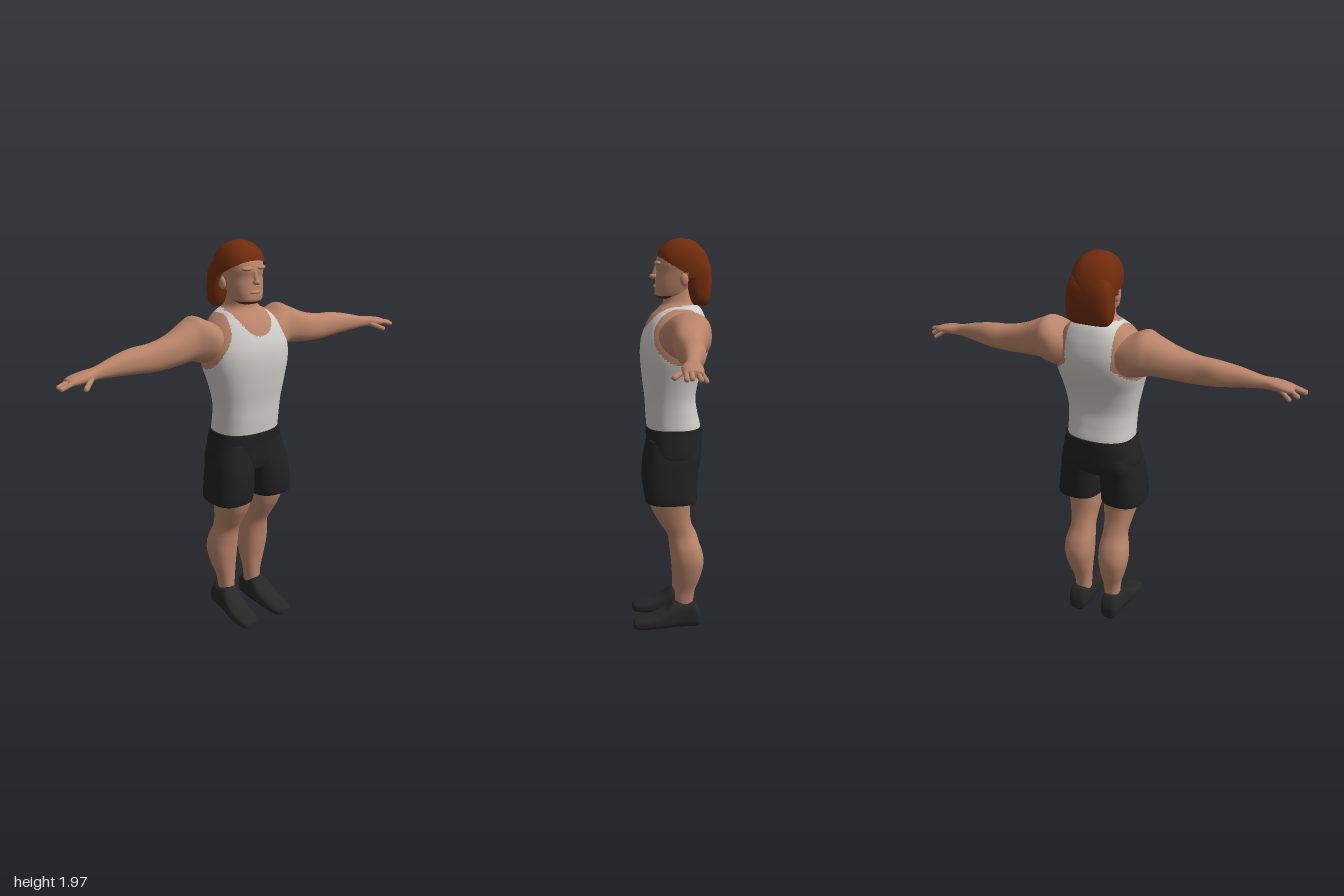
import * as THREE from 'three';

const mat = (name, color, side = THREE.FrontSide) =>
  Object.assign(new THREE.MeshStandardMaterial({ color, side }), { name });

// Which coordinates a loft's (t, a, b) become, for lofts along each axis
const AXES = {
  x: (t, a, b) => [t, b, a],
  y: (t, a, b) => [a, t, b],
  z: (t, a, b) => [b, a, t],
};

// Smooth closed skin through rows [t, aMin, aMax, bMin, bMax].
// pick(x, y, z) gives each face a material index; -1 leaves the face out.
function loft(axis, rows, { n = 2.3, segs = 32, steps = 5, pick = null } = {}) {
  const rings = [];
  const last = rows.length - 1;
  for (let i = 0; i <= last * steps; i++) {
    const k = Math.min(Math.floor(i / steps), last - 1), f = i / steps - k;
    rings.push(rows[0].map((_, c) => {
      const p1 = rows[k][c], p2 = rows[k + 1][c];
      const p0 = k > 0 ? rows[k - 1][c] : p1;
      const p3 = k + 2 <= last ? rows[k + 2][c] : p2;
      const m1 = (p2 - p0) / 2, m2 = (p3 - p1) / 2;
      const f2 = f * f, f3 = f2 * f;
      return p1 * (2 * f3 - 3 * f2 + 1) + m1 * (f3 - 2 * f2 + f) + p2 * (3 * f2 - 2 * f3) + m2 * (f3 - f2);
    }));
  }
  // Closing rings collapsed to a point
  const closed = ([t, a0, a1, b0, b1]) => [t, (a0 + a1) / 2, (a0 + a1) / 2, (b0 + b1) / 2, (b0 + b1) / 2];
  rings.unshift(closed(rings[0]));
  rings.push(closed(rings[rings.length - 1]));

  const pos = [];
  const bend = (v) => Math.sign(v) * Math.abs(v) ** (2 / n);
  for (const [t, a0, a1, b0, b1] of rings) {
    for (let j = 0; j < segs; j++) {
      const q = (j / segs) * Math.PI * 2;
      pos.push(...AXES[axis](t, (a0 + a1) / 2 + (bend(Math.cos(q)) * (a1 - a0)) / 2,
        (b0 + b1) / 2 + (bend(Math.sin(q)) * (b1 - b0)) / 2));
    }
  }
  const lists = [[], []], all = [];
  for (let i = 0; i < rings.length - 1; i++) {
    for (let j = 0; j < segs; j++) {
      const a = i * segs + j, d = i * segs + ((j + 1) % segs), b = a + segs, c = d + segs;
      for (const tri of [[a, b, d], [b, c, d]]) {
        all.push(...tri);
        const mid = [0, 1, 2].map((k) => tri.reduce((s, v) => s + pos[v * 3 + k], 0) / 3);
        const m = pick ? pick(...mid) : 0;
        if (m >= 0) lists[m].push(...tri);
      }
    }
  }
  const geo = new THREE.BufferGeometry();
  geo.setAttribute('position', new THREE.Float32BufferAttribute(pos, 3));
  geo.setIndex(all);
  geo.computeVertexNormals();
  geo.setIndex([...lists[0], ...lists[1]]);
  if (lists[1].length) {
    geo.addGroup(0, lists[0].length, 0);
    geo.addGroup(lists[0].length, lists[1].length, 1);
  }
  return geo;
}

// Copy of a geometry reflected to the other side of the body
function mirrored(geo) {
  const g = geo.clone().scale(1, 1, -1);
  const ix = g.index.array;
  for (let i = 0; i < ix.length; i += 3) [ix[i], ix[i + 1]] = [ix[i + 1], ix[i]];
  const nor = g.attributes.normal;
  if (!nor) g.computeVertexNormals();
  return g;
}

// Rounded finger between two points
function finger(from, to, r) {
  const a = new THREE.Vector3(...from), b = new THREE.Vector3(...to);
  const dir = b.clone().sub(a);
  const g = new THREE.CapsuleGeometry(r, dir.length(), 6, 12);
  g.applyQuaternion(new THREE.Quaternion().setFromUnitVectors(new THREE.Vector3(0, 1, 0), dir.normalize()));
  const m = a.add(b).multiplyScalar(0.5);
  return g.translate(m.x, m.y, m.z);
}

const blob = (x, y, z, rx, ry, rz) => new THREE.SphereGeometry(1, 20, 14).scale(rx, ry, rz).translate(x, y, z);

export function createModel() {
  const model = new THREE.Group();
  model.name = 'standingMan';
  const skin = mat('skin', 0xb98469);
  const hair = mat('hair', 0x702c0c, THREE.DoubleSide);
  const shirt = mat('shirt', 0xcfcdc9);
  const shorts = mat('shorts', 0x212121);
  const shoe = mat('shoe', 0x272727);

  const add = (name, geo, material) => {
    const mesh = new THREE.Mesh(geo, material);
    mesh.name = name;
    model.add(mesh);
  };
  const pair = (name, geo, material) => {
    add(name + 'Left', mirrored(geo), material);
    add(name + 'Right', geo, material);
  };

  // Torso and neck: vest with neckline and armholes cut out as skin
  const torsoRows = [
    [1.0, -0.145, 0.115, 0.168], [1.05, -0.15, 0.12, 0.172], [1.12, -0.135, 0.125, 0.173],
    [1.2, -0.125, 0.13, 0.179], [1.3, -0.143, 0.142, 0.2], [1.4, -0.178, 0.15, 0.224],
    [1.48, -0.19, 0.145, 0.222], [1.55, -0.182, 0.122, 0.198], [1.6, -0.167, 0.095, 0.165],
    [1.635, -0.15, 0.06, 0.125], [1.665, -0.125, 0.035, 0.08], [1.72, -0.105, 0.035, 0.067],
    [1.8, -0.1, 0.03, 0.06],
  ].map(([y, x0, x1, h]) => [y, x0, x1, -h, h]);
  const torsoPick = (x, y, z) => {
    const armhole = Math.abs(z) > 0.12 && ((x + 0.048) / 0.138) ** 2 + ((y - 1.51) / 0.13) ** 2 < 1;
    const neckline = x > -0.05 && (z / 0.1) ** 2 + ((y - 1.66) / 0.12) ** 2 < 1;
    return armhole || neckline || y > 1.655 ? 1 : 0;
  };
  add('torso', loft('y', torsoRows, { n: 2.4, segs: 144, steps: 10, pick: torsoPick }), [shirt, skin]);

  // Head, with a short beard along the underside of the chin
  const headRows = [
    [1.683, -0.05, 0.055, 0.05], [1.7, -0.08, 0.074, 0.07], [1.73, -0.095, 0.076, 0.08],
    [1.77, -0.12, 0.073, 0.087], [1.81, -0.15, 0.068, 0.092], [1.85, -0.155, 0.072, 0.095],
    [1.89, -0.15, 0.058, 0.09], [1.93, -0.12, 0.02, 0.06],
  ].map(([y, x0, x1, h]) => [y, x0, x1, -h, h]);
  add('head', loft('y', headRows, { segs: 64, steps: 8, pick: (x, y) => (y < 1.698 && x > 0 ? 1 : 0) }), [skin, hair]);
  add('noseBridge', finger([0.066, 1.835, 0], [0.08, 1.797, 0], 0.011), skin);
  add('noseTip', blob(0.08, 1.789, 0, 0.022, 0.013, 0.017), skin);
  add('lips', blob(0.071, 1.742, 0, 0.012, 0.009, 0.03), skin);
  pair('brow', blob(0.059, 1.853, -0.038, 0.018, 0.011, 0.03), skin);
  pair('ear', blob(-0.06, 1.775, -0.095, 0.02, 0.03, 0.014), skin);

  // Hair: cap cut along the hairline, and the long solid back
  const capRows = [
    [1.78, -0.2, 0.045, 0.115], [1.83, -0.196, 0.064, 0.116], [1.87, -0.186, 0.066, 0.113],
    [1.91, -0.166, 0.056, 0.1], [1.945, -0.132, 0.025, 0.075], [1.963, -0.095, -0.01, 0.042], [1.97, -0.06, -0.04, 0.01],
  ].map(([y, x0, x1, h]) => [y, x0, x1, -h, h]);
  const hairline = (x, y) => (y > 1.81 + Math.max(0, (x + 0.06) * 0.62) || (x < -0.08 && y > 1.785) ? 0 : -1);
  add('hairCap', loft('y', capRows, { segs: 96, steps: 12, pick: hairline }), hair);
  const backRows = [
    [1.655, -0.175, -0.105, 0.095], [1.675, -0.188, -0.095, 0.11], [1.71, -0.196, -0.085, 0.117],
    [1.77, -0.2, -0.075, 0.115], [1.83, -0.195, -0.07, 0.109], [1.87, -0.175, -0.08, 0.09],
  ].map(([y, x0, x1, h]) => [y, x0, x1, -h, h]);
  add('hairBack', loft('y', backRows, { n: 3, segs: 48 }), hair);

  // Arms with hands
  pair('arm', mirrored(loft('z', [
    [0.1, 1.42, 1.57, -0.15, 0.05], [0.18, 1.4, 1.603, -0.18, 0.07], [0.25, 1.415, 1.635, -0.176, 0.037],
    [0.3, 1.425, 1.617, -0.16, 0.02], [0.4, 1.418, 1.572, -0.13, 0.015], [0.5, 1.413, 1.548, -0.11, 0.002],
    [0.6, 1.42, 1.54, -0.11, 0], [0.7, 1.43, 1.522, -0.085, -0.003], [0.8, 1.438, 1.495, -0.062, 0],
    [0.86, 1.438, 1.487, -0.067, 0.02], [0.92, 1.435, 1.475, -0.066, 0.02], [0.945, 1.44, 1.465, -0.055, 0.01],
  ])), skin);
  [
    ['thumb', [0.005, 1.455, -0.84], [0.05, 1.43, -0.89], 0.012],
    ['indexFinger', [0.008, 1.457, -0.92], [0.01, 1.437, -0.985], 0.011],
    ['middleFinger', [-0.014, 1.459, -0.92], [-0.011, 1.442, -0.989], 0.011],
    ['ringFinger', [-0.036, 1.457, -0.92], [-0.048, 1.432, -0.965], 0.011],
    ['littleFinger', [-0.055, 1.452, -0.89], [-0.073, 1.422, -0.935], 0.01],
  ].forEach(([name, a, b, r]) => pair(name, finger(a, b, r), skin));

  // Shorts: hips and two wide legs
  const hipRows = [
    [0.84, -0.1, 0.1, 0.1], [0.865, -0.13, 0.115, 0.16], [0.91, -0.153, 0.122, 0.203],
    [0.98, -0.156, 0.122, 0.193], [1.03, -0.157, 0.124, 0.181], [1.052, -0.156, 0.124, 0.177],
  ].map(([y, x0, x1, h]) => [y, x0, x1, -h, h]);
  add('shortsHips', loft('y', hipRows, { n: 2.6, segs: 48 }), shorts);
  pair('shortsLeg', mirrored(loft('y', [
    [0.688, -0.118, 0.127, 0.014, 0.228], [0.7, -0.124, 0.135, 0.009, 0.233], [0.76, -0.126, 0.142, 0.006, 0.229],
    [0.85, -0.132, 0.138, 0.003, 0.215], [0.92, -0.145, 0.125, 0.002, 0.201], [1.0, -0.13, 0.11, 0.01, 0.17],
  ], { n: 2.6, segs: 40 })), shorts);

  // Bare legs
  pair('leg', mirrored(loft('y', [
    [0.08, -0.11, -0.02, 0.045, 0.125], [0.14, -0.113, -0.018, 0.045, 0.127], [0.2, -0.122, -0.017, 0.04, 0.135],
    [0.28, -0.15, -0.012, 0.03, 0.16], [0.36, -0.164, -0.003, 0.022, 0.176], [0.43, -0.15, 0.004, 0.022, 0.173],
    [0.5, -0.118, 0.02, 0.03, 0.158], [0.57, -0.098, 0.062, 0.027, 0.168], [0.64, -0.092, 0.1, 0.016, 0.183],
    [0.72, -0.095, 0.122, 0.014, 0.197], [0.78, -0.09, 0.11, 0.03, 0.18],
  ])), skin);

  // Shoes
  pair('shoe', mirrored(loft('x', [
    [-0.15, 0.075, 0.12, 0.012, 0.065], [-0.14, 0.053, 0.137, 0.003, 0.1], [-0.115, 0.045, 0.142, 0, 0.138],
    [-0.07, 0.04, 0.144, 0, 0.137], [-0.015, 0.04, 0.15, 0, 0.143], [0.03, 0.042, 0.16, 0, 0.105],
    [0.09, 0.046, 0.166, 0, 0.075], [0.15, 0.053, 0.164, 0, 0.058], [0.185, 0.068, 0.154, 0.003, 0.047],
    [0.198, 0.09, 0.138, 0.01, 0.035],
  ], { n: 2.9 })), shoe);

  return model;
}
